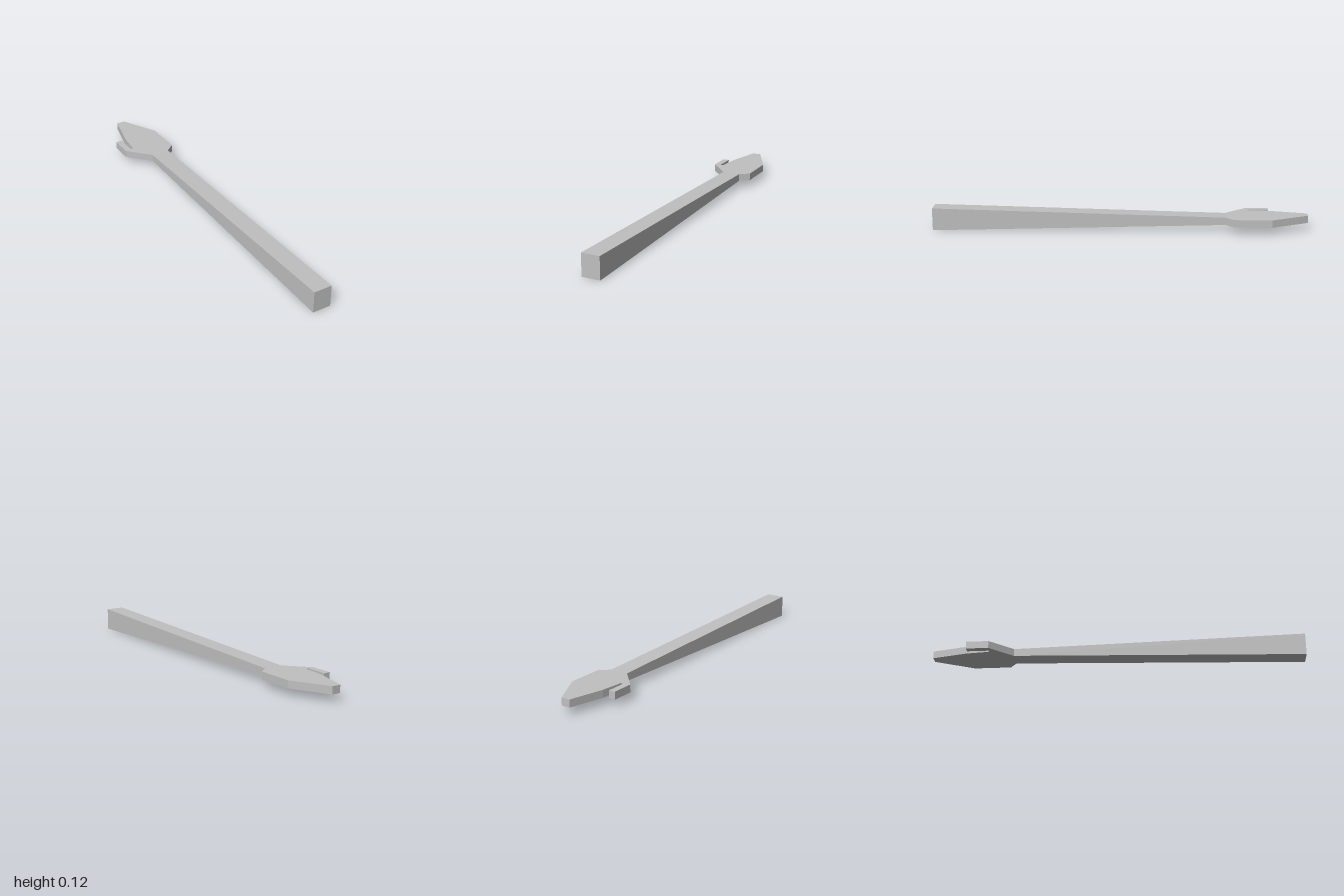
import * as THREE from 'three';

export function createModel() {
  const model = new THREE.Group();
  model.name = 'hookedSpear';
  const grey = new THREE.MeshStandardMaterial({ color: 0xc0c0c0 });
  grey.name = 'light grey';

  // Shaft: a box whose height tapers towards the blade
  const backZ = -0.56, frontZ = 1, midY = 0.06;
  const shaftGeometry = new THREE.BoxGeometry(0.1, 0.12, frontZ - backZ);
  shaftGeometry.translate(0.03, midY, (frontZ + backZ) / 2);
  const p = shaftGeometry.attributes.position;
  for (let i = 0; i < p.count; i++) {
    if (p.getZ(i) < 0) p.setY(i, midY + Math.sign(p.getY(i) - midY) * 0.02);
  }
  shaftGeometry.computeVertexNormals();
  const shaft = new THREE.Mesh(shaftGeometry, grey);
  shaft.name = 'shaft';
  model.add(shaft);

  // Blade with side hook: flat outline in (x, -z), extruded upwards
  const outline = [
    [-0.02, 0.56], [0.08, 0.56], [0.13, 0.6], [0.13, 0.8], [0.027, 1], [-0.02, 1],
    [-0.067, 0.81], [-0.08, 0.685], [-0.095, 0.685], [-0.095, 0.8], [-0.13, 0.8], [-0.13, 0.68],
  ].map(([x, y]) => new THREE.Vector2(x, y));
  const bladeGeometry = new THREE.ExtrudeGeometry(new THREE.Shape(outline), { depth: 0.04, bevelEnabled: false });
  bladeGeometry.rotateX(-Math.PI / 2).translate(0, 0.04, 0);
  const blade = new THREE.Mesh(bladeGeometry, grey);
  blade.name = 'hookedBlade';
  model.add(blade);

  return model;
}
